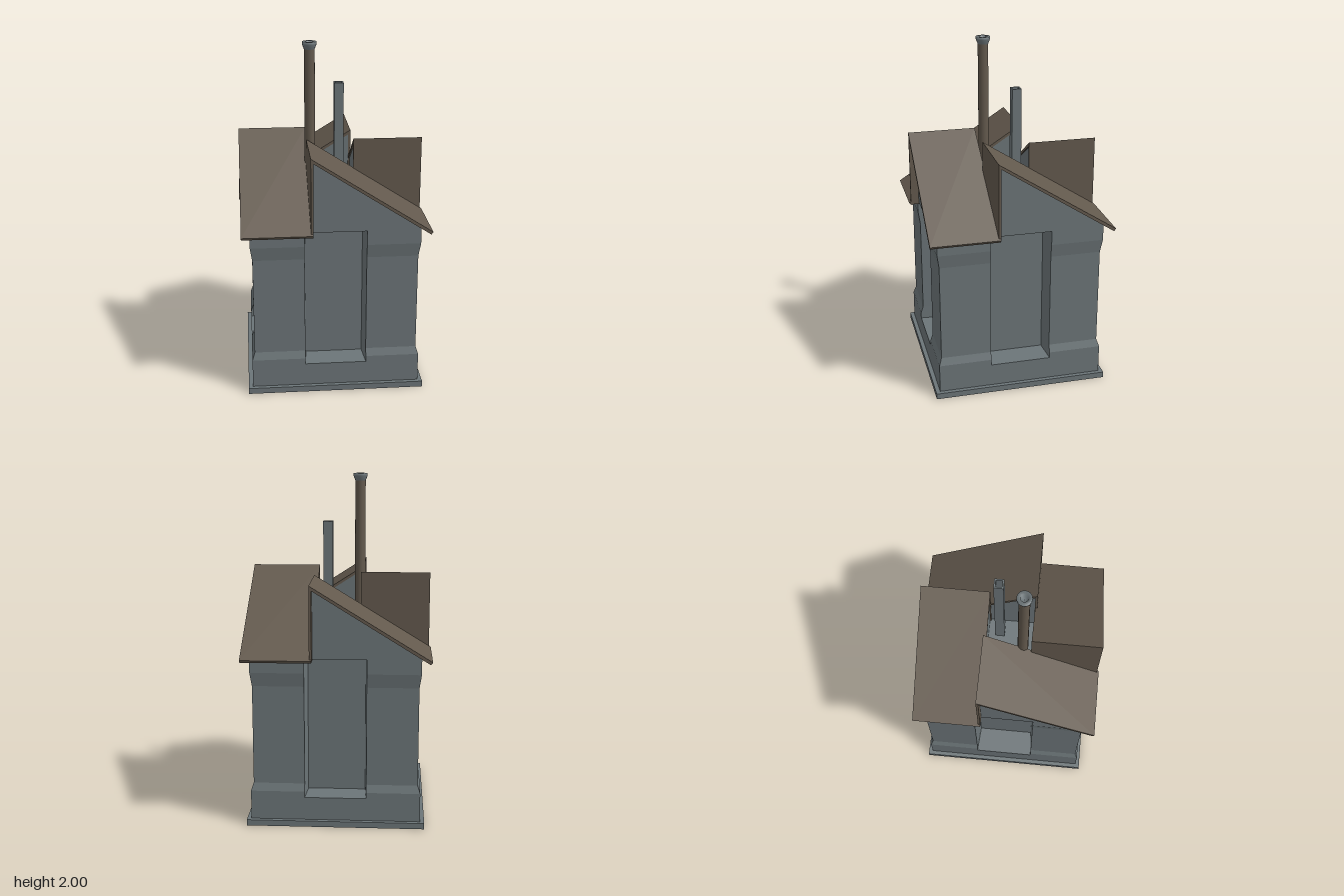
import * as THREE from 'three';

const stone = new THREE.MeshStandardMaterial({ color: 0x6c7578 });
stone.name = 'grey stone';
const timber = new THREE.MeshStandardMaterial({ color: 0x63594d });
timber.name = 'brown roofing';

function add(parent, name, geometry, material, x = 0, y = 0, z = 0) {
  const mesh = new THREE.Mesh(geometry, material);
  mesh.name = name;
  mesh.position.set(x, y, z);
  parent.add(mesh);
  return mesh;
}

// Prism with an x-y outline running from z0 to z1
function prism(points, z0, z1) {
  const shape = new THREE.Shape(points.map(([x, y]) => new THREE.Vector2(x, y)));
  const geometry = new THREE.ExtrudeGeometry(shape, { depth: z1 - z0, bevelEnabled: false });
  return geometry.translate(0, 0, z0);
}

// Square plan with a splayed niche in the middle of each side
function nichedPlan(w) {
  const side = [[-w, w], [-0.178, w], [-0.168, 0.335], [0.168, 0.335], [0.178, w]];
  const plan = [];
  for (let i = 0; i < 4; i++) {
    for (const [px, pz] of side) {
      let x = px, z = pz;
      for (let k = 0; k < i; k++) [x, z] = [z, -x];
      plan.push([x, z]);
    }
  }
  return plan;
}

// Walls lofted through [y, half width] levels
function wallGeometry(levels) {
  const positions = [];
  for (let l = 0; l + 1 < levels.length; l++) {
    const low = nichedPlan(levels[l][1]), high = nichedPlan(levels[l + 1][1]);
    const y0 = levels[l][0], y1 = levels[l + 1][0];
    low.forEach((p, i) => {
      const j = (i + 1) % low.length;
      const a = [p[0], y0, p[1]], b = [low[j][0], y0, low[j][1]];
      const c = [high[j][0], y1, high[j][1]], d = [high[i][0], y1, high[i][1]];
      positions.push(...a, ...b, ...c, ...a, ...c, ...d);
    });
  }
  const geometry = new THREE.BufferGeometry();
  geometry.setAttribute('position', new THREE.Float32BufferAttribute(positions, 3));
  geometry.computeVertexNormals();
  return geometry;
}

// One lean-to wing: stone gable under a sloped roof with a boarded high side
function makeWing(peak) {
  const wing = new THREE.Group();
  wing.name = 'roofWing';
  add(wing, 'gable', prism([
    [-0.135, 1], [0.487, 1], [0.487, 1.012], [-0.135, peak - 0.022],
  ], 0.14, 0.487), stone);
  add(wing, 'roof', prism([
    [-0.144, 0.985], [-0.13, 0.985], [-0.13, peak - 0.028], [0.535, 0.98],
    [0.546, 0.995], [-0.144, peak],
  ], 0.132, 0.535), timber);
  return wing;
}

export function createModel() {
  const model = new THREE.Group();
  model.name = 'house';

  // Base and walls
  add(model, 'plinth', new THREE.BoxGeometry(1.03, 0.035, 1.03), stone, 0, 0.0175, 0);
  add(model, 'footing', new THREE.BoxGeometry(0.98, 0.137, 0.98), stone, 0, 0.1015, 0);
  add(model, 'walls', wallGeometry([
    [0.17, 0.49], [0.205, 0.49], [0.25, 0.475], [0.83, 0.475], [0.91, 0.487], [1, 0.487],
  ]), stone);
  add(model, 'ceiling', new THREE.BoxGeometry(0.974, 0.006, 0.974), stone, 0, 0.997, 0);

  // Four wings in a pinwheel
  [1.44, 1.44, 1.418, 1.44].forEach((peak, i) => {
    const wing = makeWing(peak);
    wing.rotation.y = i * Math.PI / 2;
    model.add(wing);
  });

  // Round stove pipe with flared cap
  add(model, 'pipe', new THREE.CylinderGeometry(0.031, 0.031, 0.97, 16), timber, -0.118, 1.485, 0.082);
  const cap = [[0.03, 1.955], [0.034, 1.965], [0.042, 1.985], [0.042, 2], [0.022, 2], [0.018, 1.975], [0, 1.975]];
  add(model, 'pipeCap', new THREE.LatheGeometry(cap.map(([r, y]) => new THREE.Vector2(r, y)), 16), stone, -0.118, 0, 0.082);

  // Square hollow chimney
  const outline = new THREE.Shape();
  const h = 0.028, k = 0.019;
  outline.moveTo(-h, -h).lineTo(h, -h).lineTo(h, h).lineTo(-h, h).closePath();
  const hole = new THREE.Path();
  hole.moveTo(-k, -k).lineTo(-k, k).lineTo(k, k).lineTo(k, -k).closePath();
  outline.holes.push(hole);
  const flue = new THREE.ExtrudeGeometry(outline, { depth: 0.73, bevelEnabled: false });
  flue.rotateX(-Math.PI / 2);
  add(model, 'chimney', flue, stone, 0.065, 1, -0.07);

  return model;
}
